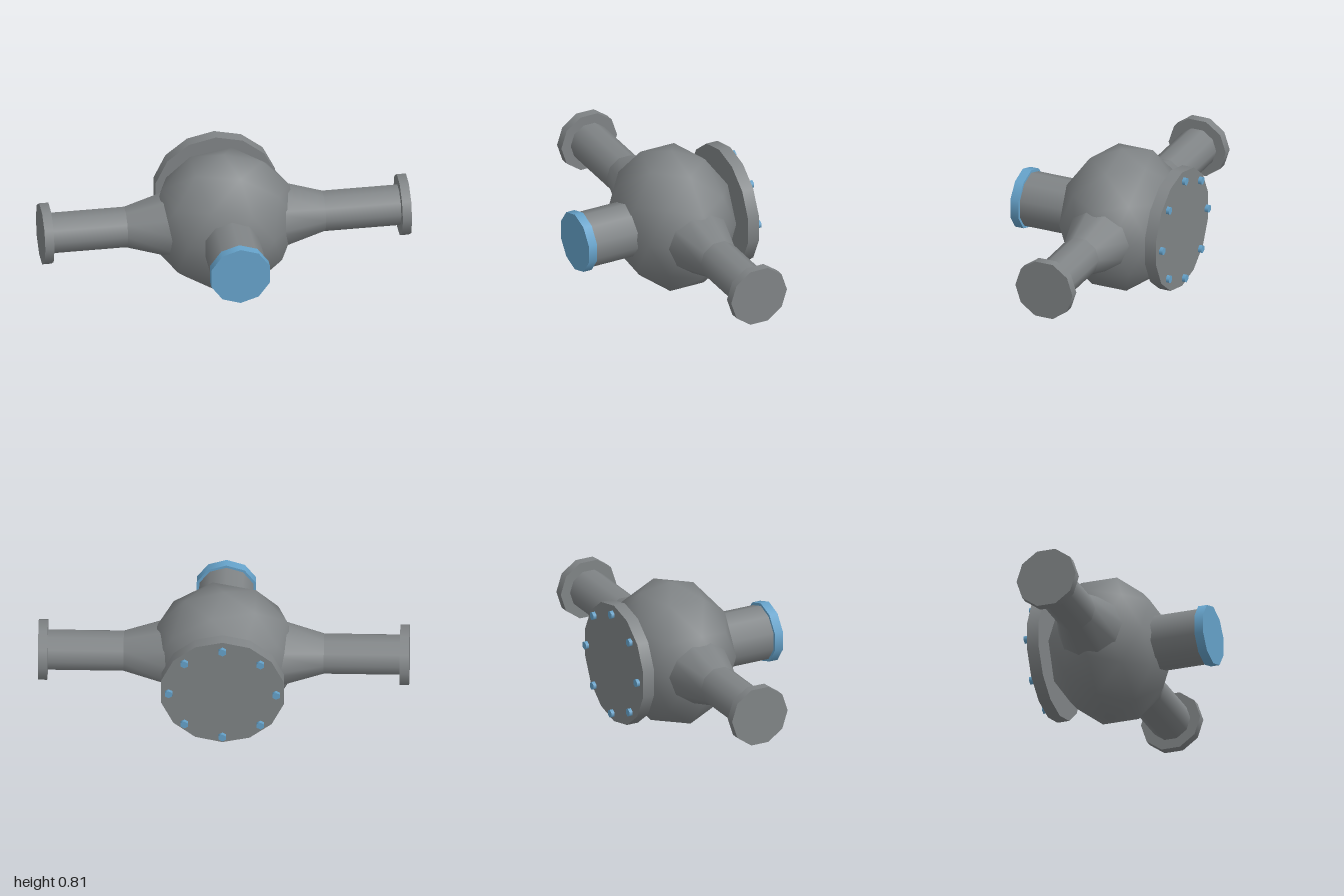
import * as THREE from 'three';

const CY = 0.408, CZ = -0.105; // centre of the valve body

export function createModel() {
  const model = new THREE.Group();
  const grey = new THREE.MeshStandardMaterial({ color: 0x808486 });
  grey.name = 'castGrey';
  const blue = new THREE.MeshStandardMaterial({ color: 0x66a3cb });
  blue.name = 'fittingBlue';

  const add = (name, geometry, material, parent = model) => {
    const mesh = new THREE.Mesh(geometry, material);
    mesh.name = name;
    parent.add(mesh);
    return mesh;
  };

  // Cylinder or cone lying along z, from z0 to z1
  const alongZ = (r0, r1, z0, z1, sides) =>
    new THREE.CylinderGeometry(r1, r0, z1 - z0, sides)
      .rotateX(Math.PI / 2).translate(0, CY, (z0 + z1) / 2);

  // Cylinder or cone lying along x on one side (s = 1 or -1)
  const alongX = (s, r0, r1, x0, x1, sides) =>
    new THREE.CylinderGeometry(r1, r0, x1 - x0, sides)
      .rotateZ(-s * Math.PI / 2).translate(s * (x0 + x1) / 2, CY, CZ);

  // Body: a smooth icosphere with a vertex at the top, stretched on each axis
  const body = new THREE.IcosahedronGeometry(1, 1)
    .rotateZ(-Math.atan(2 / (1 + Math.sqrt(5))))
    .scale(0.4, 0.407, 0.33)
    .translate(0, CY, CZ);
  add('body', body, grey);

  // Side pipes: flared root, straight pipe and end flange
  for (const s of [1, -1]) {
    const arm = new THREE.Group();
    arm.name = s > 0 ? 'leftArm' : 'rightArm';
    add('flare', alongX(s, 0.216, 0.113, 0.2, 0.54, 10), grey, arm);
    add('pipe', alongX(s, 0.113, 0.113, 0.54, 0.96, 10), grey, arm);
    add('endFlange', alongX(s, 0.17, 0.17, 0.95, 1, 10), grey, arm);
    model.add(arm);
  }

  // Front outlet with its cap
  add('frontPipe', alongZ(0.153, 0.153, 0, 0.45, 10), grey);
  add('frontCap', alongZ(0.168, 0.168, 0.438, 0.488, 10), blue);

  // Back cover plate and its ring of hexagonal bolts
  add('backPlate', alongZ(0.339, 0.339, -0.46, -0.393, 14), grey);
  const bolts = new THREE.Group();
  bolts.name = 'bolts';
  for (let i = 0; i < 8; i++) {
    const a = i * Math.PI / 4;
    const bolt = alongZ(0.023, 0.023, -0.487, -0.468, 6)
      .translate(0.29 * Math.cos(a), 0.29 * Math.sin(a), 0);
    add('bolt', bolt, blue, bolts);
  }
  model.add(bolts);

  return model;
}
